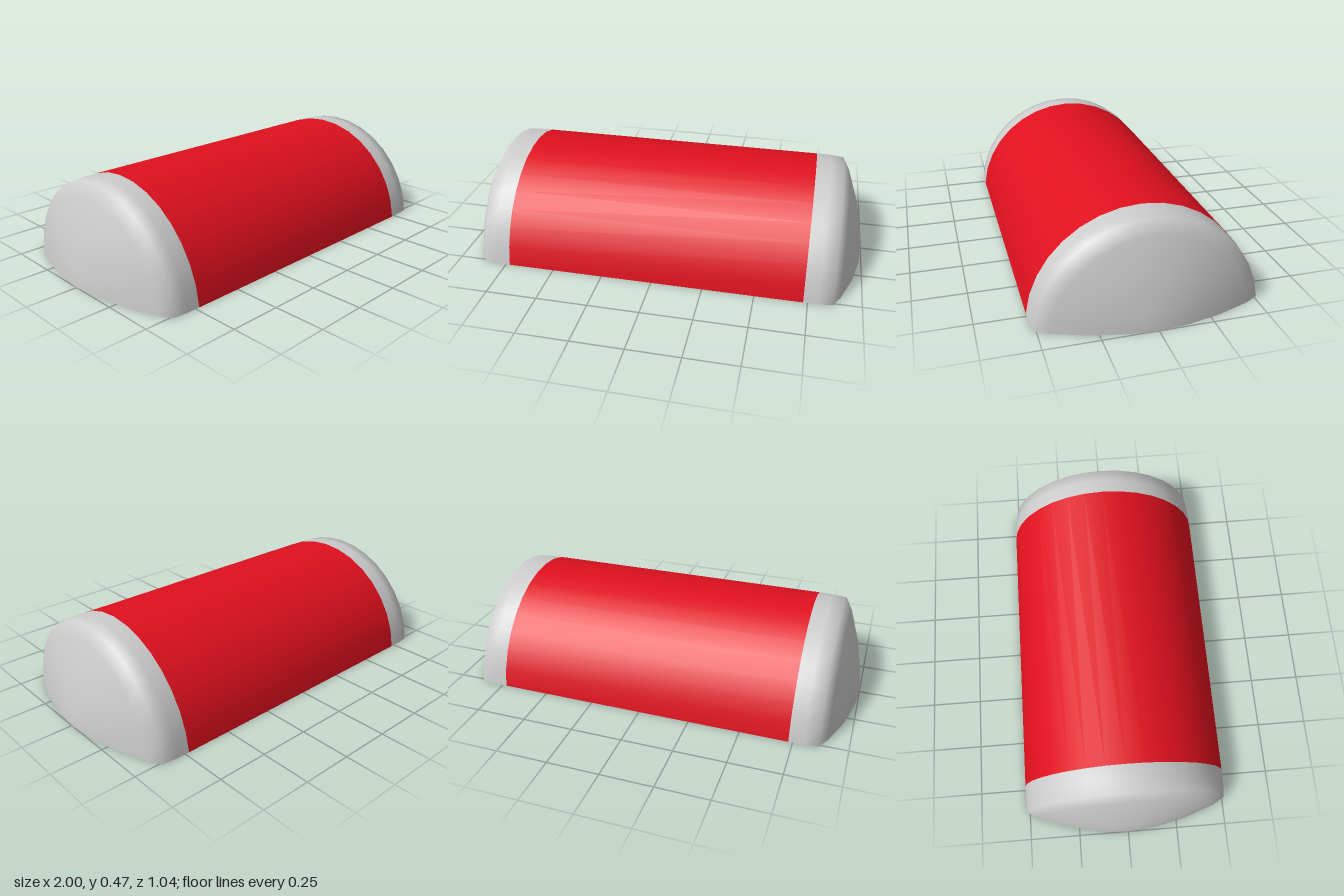
import * as THREE from 'three';
import { mergeVertices } from 'three/addons/utils/BufferGeometryUtils.js';

const AXIS_DROP = 0.055; // the axis of revolution lies below the cut plane y = 0
const RADIUS = 0.523;
const SEGMENTS = 16;

// Open shell: arcs around the x axis, each cut off at y = 0.
// stations: [x, radius] in order of rising x.
function arcShell(stations) {
  const positions = [];
  const index = [];
  const row = SEGMENTS + 1;
  stations.forEach(([x, r], i) => {
    const half = Math.acos(Math.min(1, AXIS_DROP / r));
    for (let j = 0; j <= SEGMENTS; j++) {
      const t = half * (2 * j / SEGMENTS - 1);
      const y = j % SEGMENTS ? r * Math.cos(t) - AXIS_DROP : 0;
      positions.push(x, y, r * Math.sin(t));
      if (i > 0 && j < SEGMENTS) {
        const a = (i - 1) * row + j;
        const b = a + row;
        index.push(a, a + 1, b, a + 1, b + 1, b);
      }
    }
  });
  const geometry = new THREE.BufferGeometry();
  geometry.setAttribute('position', new THREE.Float32BufferAttribute(positions, 3));
  geometry.setIndex(index);
  const merged = mergeVertices(geometry, 1e-5);
  merged.computeVertexNormals();
  return merged;
}

export function createModel() {
  const group = new THREE.Group();
  group.name = 'halfCapsuleShell';
  const red = new THREE.MeshStandardMaterial({ color: 0xe0101e, side: THREE.DoubleSide });
  const grey = new THREE.MeshStandardMaterial({ color: 0xcccccc, side: THREE.DoubleSide });

  const add = (name, stations, material) => {
    const mesh = new THREE.Mesh(arcShell(stations), material);
    mesh.name = name;
    group.add(mesh);
  };

  // Coloured middle band
  add('middleBand', [[-0.73, RADIUS], [0.73, RADIUS]], red);

  // Domed end caps: short collar, rounded shoulder, shallow dome
  const cap = [
    [0.73, RADIUS], [0.80, 0.522], [0.865, 0.516], [0.9, 0.455],
    [0.955, 0.3], [0.988, 0.15], [1, AXIS_DROP],
  ];
  add('leftCap', cap, grey);
  add('rightCap', cap.map(([x, r]) => [-x, r]).reverse(), grey);

  return group;
}
